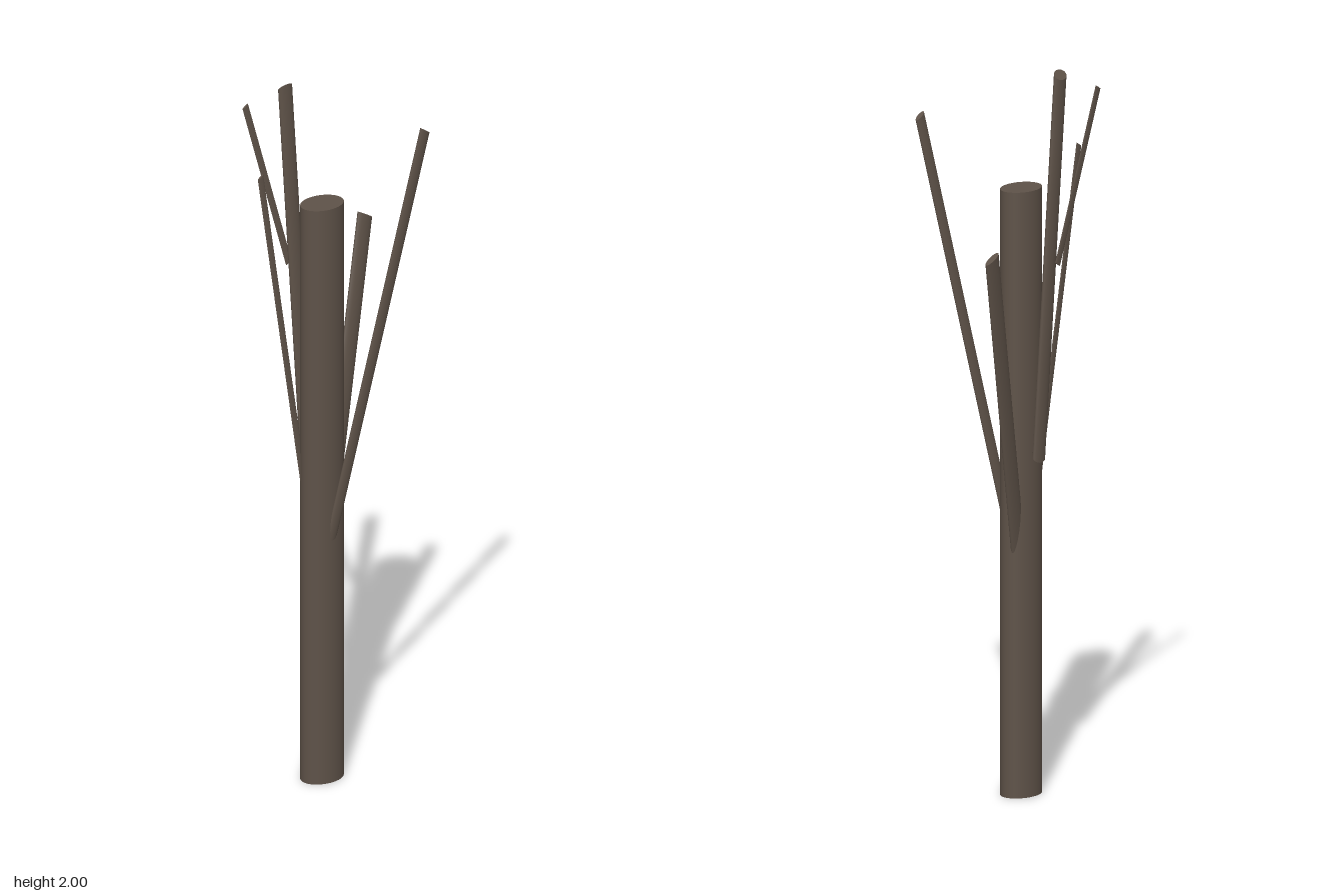
import * as THREE from 'three';

const bark = new THREE.MeshStandardMaterial({ color: 0x5e5248 });

// Elliptical rod from base to top; tiltX / tiltZ slant its end caps.
function rod(name, base, top, rx, rz, tiltX = 0, tiltZ = 0, sides = 20) {
  const a = new THREE.Vector3(...base);
  const b = new THREE.Vector3(...top);
  const matrix = new THREE.Matrix4().makeBasis(
    new THREE.Vector3(rx, tiltX, 0),
    b.clone().sub(a),
    new THREE.Vector3(0, tiltZ, rz)
  );
  matrix.setPosition(a.add(b).multiplyScalar(0.5));
  const geometry = new THREE.CylinderGeometry(1, 1, 1, sides);
  geometry.applyMatrix4(matrix);
  const mesh = new THREE.Mesh(geometry, bark);
  mesh.name = name;
  return mesh;
}

export function createModel() {
  const tree = new THREE.Group();
  tree.name = 'bareTree';
  tree.add(
    // Upright trunk, slightly wider than deep
    rod('trunk', [-0.043, 0, -0.017], [-0.043, 1.67, -0.017], 0.0635, 0.0485, 0, 0, 40),
    // Long branch leaning forward
    rod('frontBranch', [-0.058, 0.64, 0.017], [0.174, 1.88, 0.15], 0.0145, 0.0075, -0.01),
    // Thick branch leaning back
    rod('sideBranch', [-0.02, 0.64, -0.031], [0.187, 1.537, -0.122], 0.0235, 0.0105, -0.013),
    // Tall branch standing just behind the trunk
    rod('rearBranch', [-0.047, 0.935, -0.077], [-0.092, 1.988, -0.113], 0.0225, 0.01, 0, 0.012),
    // Two thin flat twigs on the other side
    rod('upperTwig', [-0.074, 1.47, -0.12], [-0.191, 1.943, -0.159], 0.009, 0.0025, 0.006),
    rod('lowerTwig', [-0.076, 0.75, -0.032], [-0.203, 1.768, -0.079], 0.009, 0.0025, 0.006)
  );
  return tree;
}
